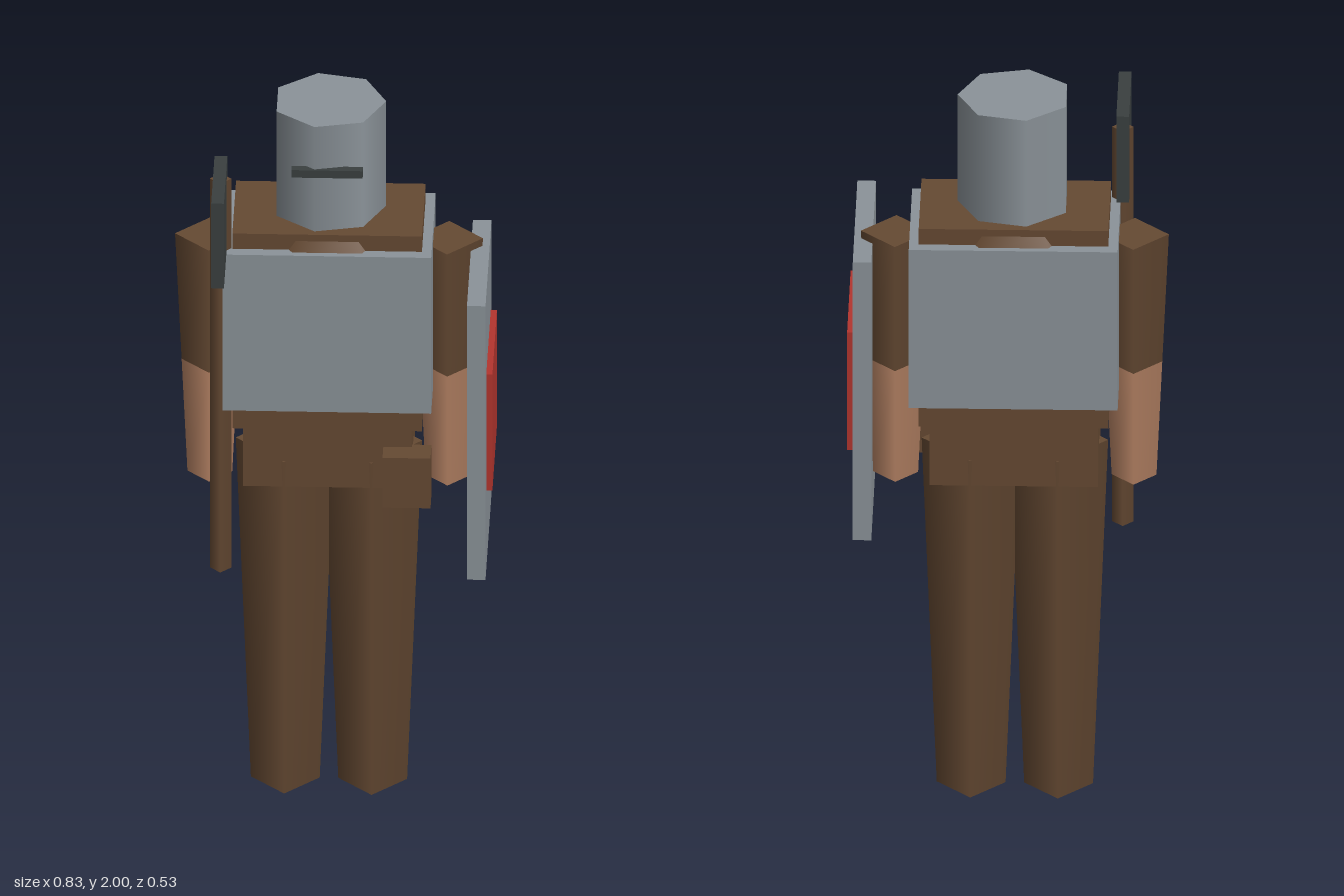
import * as THREE from 'three';

export function createModel() {
  const model = new THREE.Group();
  model.name = 'armouredFighter';

  const mat = (name, hex) => {
    const m = new THREE.MeshStandardMaterial({ color: hex });
    m.name = name;
    return m;
  };
  const leather = mat('brown leather', 0x664a33);
  const skin = mat('skin', 0xb98566);
  const steel = mat('grey steel', 0x8b9399);
  const iron = mat('dark iron', 0x3a4040);
  const red = mat('red paint', 0xb3352e);

  const add = (parent, name, geometry, material) => {
    const mesh = new THREE.Mesh(geometry, material);
    mesh.name = name;
    parent.add(mesh);
    return mesh;
  };
  // Box given by its limits on each axis
  const box = (parent, name, material, [x0, x1], [y0, y1], [z0, z1]) =>
    add(parent, name, new THREE.BoxGeometry(x1 - x0, y1 - y0, z1 - z0), material)
      .position.set((x0 + x1) / 2, (y0 + y1) / 2, (z0 + z1) / 2);
  // Upright tapered prism from y0 to y1; start turns its first corner
  const prism = (parent, name, material, sides, x, z, [y0, r0], [y1, r1], start = 0) =>
    add(parent, name, new THREE.CylinderGeometry(r1, r0, y1 - y0, sides, 1, false, start), material)
      .position.set(x, (y0 + y1) / 2, z);

  // Body stands slightly off the origin, shield and weapon balance it
  const body = new THREE.Group();
  body.name = 'body';
  body.position.set(-0.0175, 0, -0.093);
  model.add(body);

  // Trunk and chest armour
  box(body, 'torso', leather, [-0.245, 0.245], [1.105, 1.68], [-0.141, 0.141]);
  box(body, 'chestPlate', steel, [-0.27, 0.27], [1.175, 1.635], [-0.173, 0.173]);
  box(body, 'pelvis', leather, [-0.218, 0.218], [0.925, 1.115], [-0.122, 0.122]);
  prism(body, 'collar', leather, 6, 0, 0, [1.62, 0.19], [1.665, 0.16], Math.PI / 2);

  // Head
  prism(body, 'neck', skin, 8, 0, 0, [1.6, 0.052], [1.75, 0.052]);
  prism(body, 'helmet', steel, 7, 0, 0, [1.692, 0.148], [2, 0.148], Math.PI / 2);
  box(body, 'visorSlit', iron, [-0.092, 0.092], [1.853, 1.875], [0.127, 0.15]);

  // Four-sided limbs, mirrored
  for (const [side, s] of [['left', 1], ['right', -1]]) {
    prism(body, side + 'Leg', leather, 4, s * 0.113, 0, [0, 0.089], [1, 0.128]);
    prism(body, side + 'Sleeve', leather, 4, s * 0.308, 0, [1.23, 0.073], [1.6, 0.09]);
    prism(body, side + 'Forearm', skin, 4, s * 0.308, 0, [0.9, 0.058], [1.23, 0.073]);
  }

  // Belt pouch
  box(model, 'pouch', leather, [0.127, 0.251], [0.9, 1.047], [0.015, 0.088]);

  // Axe in the right hand
  const axe = new THREE.Group();
  axe.name = 'axe';
  model.add(axe);
  prism(axe, 'axeHandle', leather, 4, -0.293, 0.045, [0.692, 0.028], [1.84, 0.028]);
  box(axe, 'axeBlade', iron, [-0.31, -0.277], [1.637, 1.887], [0.01, 0.264]);

  // Shield on the left arm
  const shield = new THREE.Group();
  shield.name = 'shield';
  model.add(shield);
  box(shield, 'shieldBoard', steel, [0.35, 0.398], [0.77, 1.578], [-0.23, 0.23]);
  box(shield, 'shieldPanel', red, [0.398, 0.414], [1.003, 1.345], [-0.173, 0.173]);

  return model;
}
